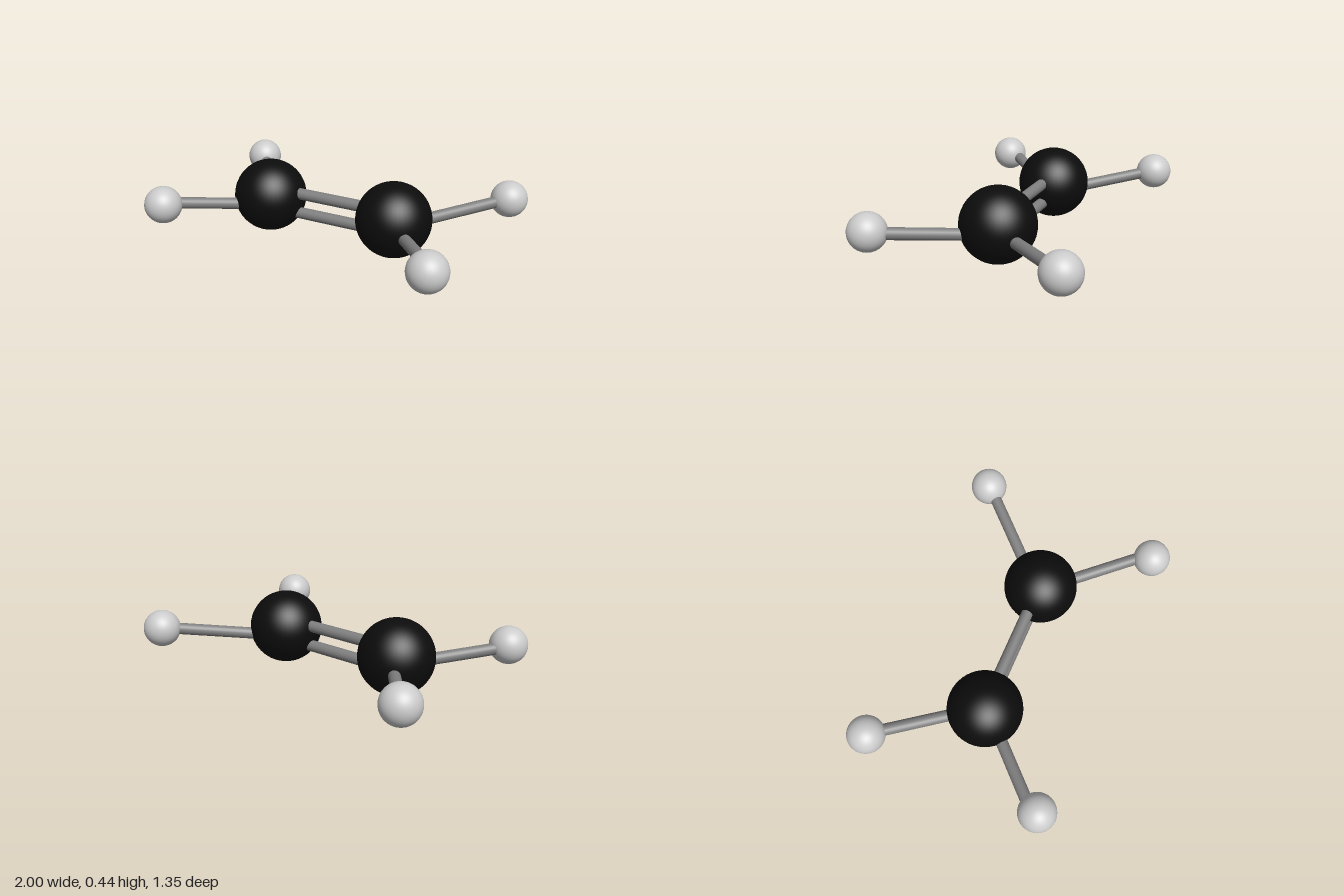
import * as THREE from 'three';

const V = (x, y, z) => new THREE.Vector3(x, y, z);

export function createModel() {
  const model = new THREE.Group();
  model.name = 'molecule';

  const black = new THREE.MeshStandardMaterial({ color: 0x0c0c0c });
  const grey = new THREE.MeshStandardMaterial({ color: 0x808080 });
  const pale = new THREE.MeshStandardMaterial({ color: 0xcccccc });

  const largeBall = new THREE.SphereGeometry(0.222, 48, 32);
  const smallBall = new THREE.SphereGeometry(0.111, 32, 24);

  function addAtom(name, geometry, material, position) {
    const atom = new THREE.Mesh(geometry, material);
    atom.name = name;
    atom.position.copy(position);
    model.add(atom);
  }

  // Round rod between two points
  function addBond(name, from, to) {
    const dir = to.clone().sub(from);
    const bond = new THREE.Mesh(new THREE.CylinderGeometry(0.035, 0.035, dir.length(), 24), grey);
    bond.name = name;
    bond.position.copy(from).lerp(to, 0.5);
    bond.quaternion.setFromUnitVectors(V(0, 1, 0), dir.normalize());
    model.add(bond);
  }

  // Two dark atoms joined by a double bond
  addAtom('rightCarbon', largeBall, black, V(-0.458, 0.223, 0));
  addAtom('leftCarbon', largeBall, black, V(0.381, 0.223, 0));
  addBond('upperDoubleBond', V(-0.45, 0.265, 0), V(0.37, 0.265, 0));
  addBond('lowerDoubleBond', V(-0.45, 0.14, 0), V(0.37, 0.14, 0));

  // Four pale atoms: name, centre, inner and outer end of the rod
  const arms = [
    ['rightBack', V(-0.868, 0.25, -0.557), V(-0.43, 0.165, 0), V(-0.852, 0.25, -0.54)],
    ['leftBack', V(0.888, 0.25, -0.567), V(0.357, 0.165, 0), V(0.878, 0.25, -0.55)],
    ['rightFront', V(-0.889, 0.25, 0.505), V(-0.435, 0.165, 0), V(-0.905, 0.25, 0.48)],
    ['leftFront', V(0.817, 0.25, 0.563), V(0.388, 0.165, 0), V(0.832, 0.25, 0.54)],
  ];
  for (const [name, centre, inner, outer] of arms) {
    addAtom(name + 'Hydrogen', smallBall, pale, centre);
    addBond(name + 'Bond', inner, outer);
  }

  return model;
}
